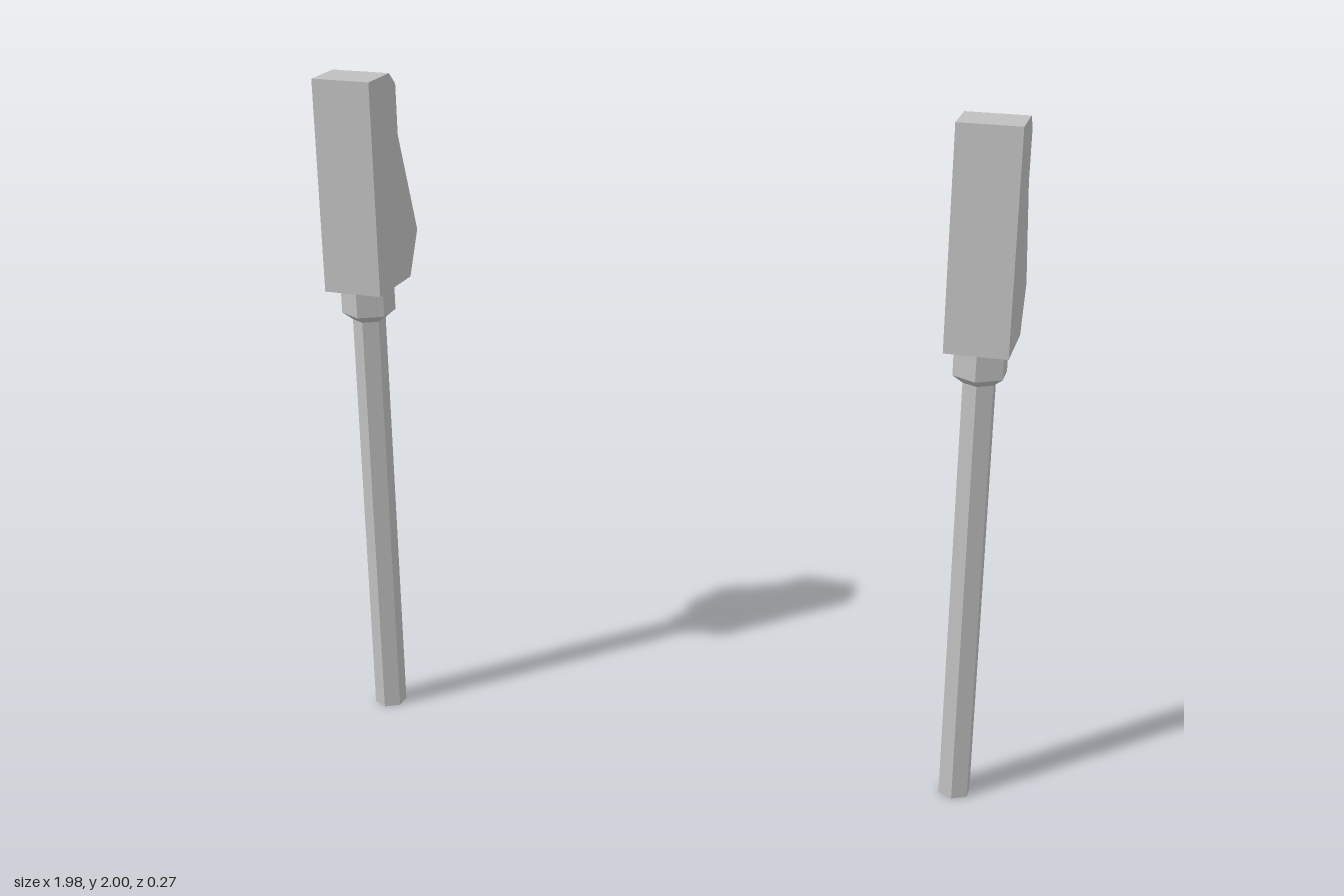
import * as THREE from 'three';

export function createModel() {
  const model = new THREE.Group();
  const grey = new THREE.MeshStandardMaterial({ color: 0xc0c0c0 });
  grey.name = 'light grey';
  grey.flatShading = true;

  const postZ = 0.038; // the post stands slightly forward of centre

  // Head: side profile as (z, y), extruded across the width
  const headWidth = 0.174;
  const profile = [
    [0.137, 1.38], [0.137, 2], [0.003, 2], [-0.035, 1.963],
    [-0.035, 1.815], [-0.137, 1.508], [-0.074, 1.38],
  ];
  const shape = new THREE.Shape(profile.map(([z, y]) => new THREE.Vector2(z, y)));
  const headGeo = new THREE.ExtrudeGeometry(shape, { depth: headWidth, bevelEnabled: false });
  headGeo.translate(0, 0, -headWidth / 2).rotateY(-Math.PI / 2);

  // Six-sided section between two heights
  const hexGeo = (rTop, rBottom, y0, y1) =>
    new THREE.CylinderGeometry(rTop, rBottom, y1 - y0, 6).translate(0, (y0 + y1) / 2, postZ);

  const parts = {
    head: headGeo,
    collar: hexGeo(0.078, 0.078, 1.3, 1.38),
    collarTaper: hexGeo(0.078, 0.048, 1.277, 1.3),
    post: hexGeo(0.048, 0.048, 0, 1.277),
  };

  // A matching pair, one on each side
  for (const [side, x] of [['left', 0.901], ['right', -0.901]]) {
    const unit = new THREE.Group();
    unit.name = side + 'Post';
    unit.position.x = x;
    for (const [name, geo] of Object.entries(parts)) {
      const mesh = new THREE.Mesh(geo, grey);
      mesh.name = name;
      unit.add(mesh);
    }
    model.add(unit);
  }
  return model;
}
